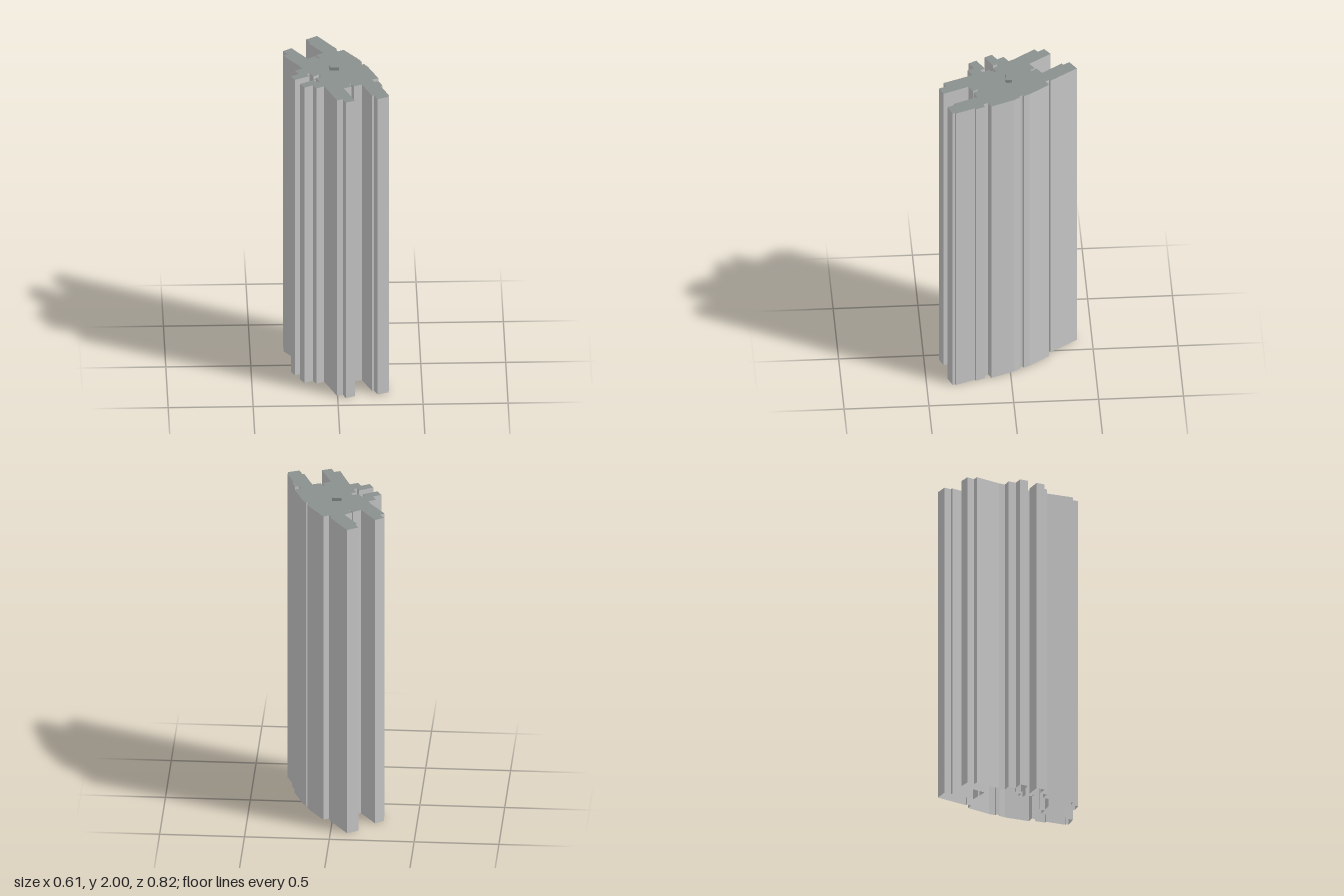
import * as THREE from 'three';

// Tower footprint as x, z pairs, clockwise seen from above
const FOOTPRINT = [
  -.10, -.413, .012, -.251, .001, -.243, .019, -.22, .051, -.24, .139, -.118,
  .156, -.083, .146, -.077, .154, -.057, .167, -.061, .189, -.026, .246, .114,
  .209, .131, .222, .16, .246, .151, .268, .206, .257, .212, .303, .326,
  .294, .33, .301, .345, .235, .372, .215, .326, .204, .33, .147, .19,
  .099, .21, .084, .177, .073, .181, .086, .212, .04, .234, .102, .387,
  .047, .409, .03, .367, -.005, .38, -.062, .234, -.075, .205, -.121, .23,
  -.141, .192, -.191, .219, -.215, .173, -.134, .127, -.119, .155, -.1, .144,
  -.119, .103, -.089, .085, -.102, .061, -.134, .081, -.156, .042, -.172, .05,
  -.161, .079, -.244, .122, -.268, .077, -.22, .05, -.242, .009, -.198, -.015,
  -.215, -.05, -.305, -.175, -.279, -.195, -.305, -.232, -.255, -.268, -.163, -.136,
  -.119, -.166, -.1, -.138, -.091, -.142, -.113, -.175, -.069, -.206, -.154, -.326,
  -.141, -.334, -.165, -.372,
];
const RECESS = [-.119, .103, -.134, .081, -.102, .061, -.089, .085];
const ROOF_Y = 1.98;

const toPoints = (list) => {
  const points = [];
  for (let i = 0; i < list.length; i += 2) points.push(new THREE.Vector2(list[i], list[i + 1]));
  return points;
};

// Flat, upward-facing slab of a plan outline
function flatRoof(points, y) {
  const shape = new THREE.Shape(points.map((p) => new THREE.Vector2(p.x, -p.y)));
  return new THREE.ShapeGeometry(shape).rotateX(-Math.PI / 2).translate(0, y, 0);
}

// One outward-facing quad per outline edge, open at top and bottom
function wallRing(points, bottom, top) {
  const positions = [];
  points.forEach((a, i) => {
    const b = points[(i + 1) % points.length];
    positions.push(
      a.x, bottom, a.y, a.x, top, a.y, b.x, top, b.y,
      a.x, bottom, a.y, b.x, top, b.y, b.x, bottom, b.y,
    );
  });
  const geometry = new THREE.BufferGeometry();
  geometry.setAttribute('position', new THREE.Float32BufferAttribute(positions, 3));
  geometry.computeVertexNormals();
  return geometry;
}

export function createModel() {
  // Both are double-sided because the shaft is hollow and open below
  const wall = new THREE.MeshStandardMaterial({ color: 0xc8c8c8, side: THREE.DoubleSide });
  wall.name = 'wall grey';
  const roof = new THREE.MeshStandardMaterial({ color: 0x89918d, side: THREE.DoubleSide });
  roof.name = 'roof grey';

  const model = new THREE.Group();
  model.name = 'tower';
  const add = (name, geometry, material) => {
    const mesh = new THREE.Mesh(geometry, material);
    mesh.name = name;
    mesh.position.set(0.001, 0, 0.002); // centres the footprint
    model.add(mesh);
  };

  // Main shaft
  const outline = toPoints(FOOTPRINT);
  add('walls', wallRing(outline, 0, ROOF_Y), wall);
  add('roof', flatRoof(outline, ROOF_Y), roof);

  // Small lowered roof beside the slot
  add('recessRoof', flatRoof(toPoints(RECESS), ROOF_Y - 0.02), roof);

  // Rooftop housing
  const housing = new THREE.BoxGeometry(0.056, 0.02, 0.037);
  add('rooftopHousing', housing.translate(-0.011, ROOF_Y + 0.01, -0.005), roof);

  return model;
}
